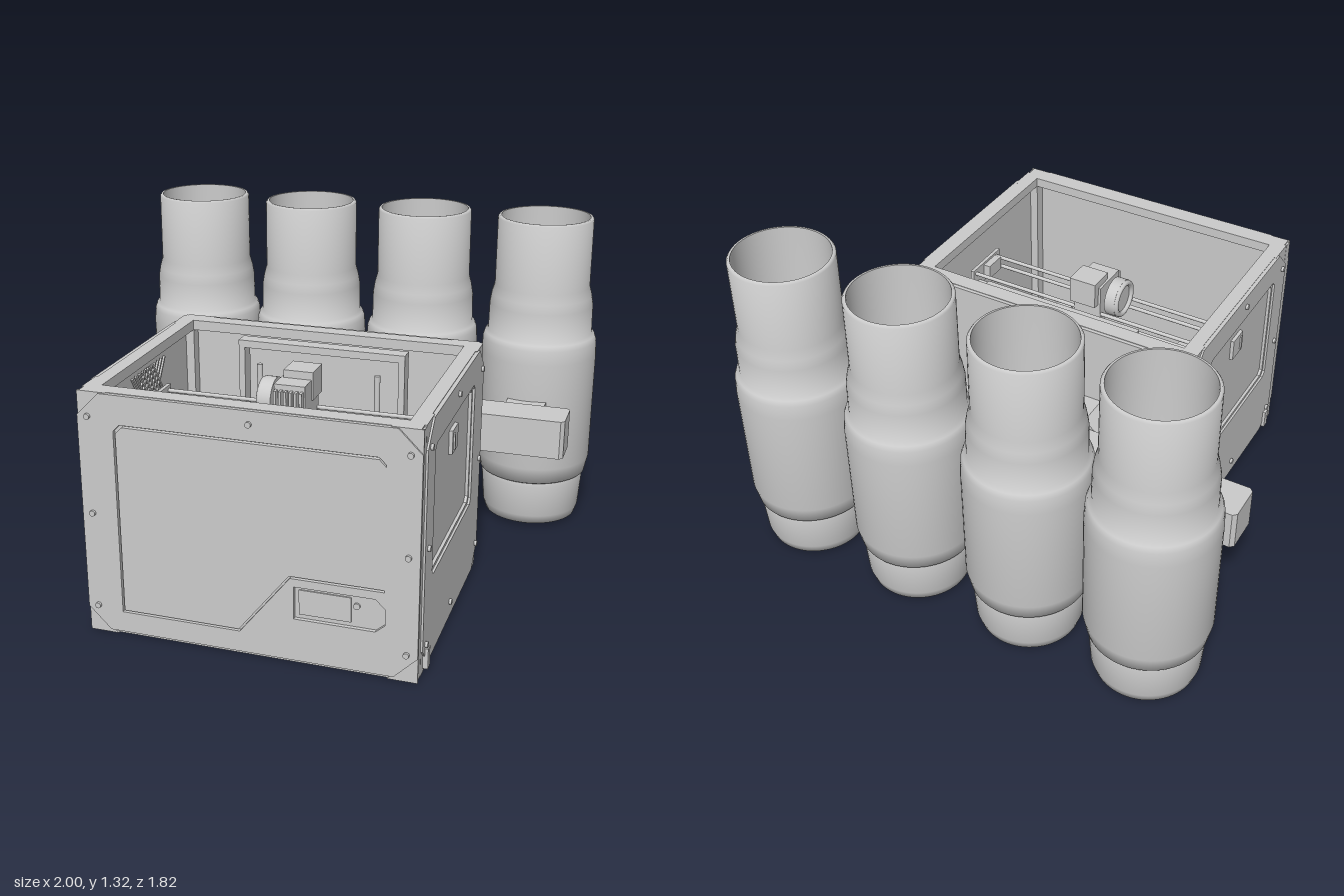
import * as THREE from 'three';
import { toCreasedNormals } from 'three/addons/utils/BufferGeometryUtils.js';

const mat = new THREE.MeshStandardMaterial({ color: 0xcccccc, side: THREE.DoubleSide });

function add(parent, name, geo, x = 0, y = 0, z = 0) {
  const m = new THREE.Mesh(geo, mat);
  m.name = name;
  m.position.set(x, y, z);
  parent.add(m);
  return m;
}
// Box given by its min and max along each axis
function box(parent, name, x0, x1, y0, y1, z0, z1) {
  return add(parent, name, new THREE.BoxGeometry(x1 - x0, y1 - y0, z1 - z0),
    (x0 + x1) / 2, (y0 + y1) / 2, (z0 + z1) / 2);
}
const shapeOf = pts => new THREE.Shape(pts.map(p => new THREE.Vector2(...p)));
const rect = (a, b, yc = 0) => [[-a, yc - b], [a, yc - b], [a, yc + b], [-a, yc + b]];
const chamfered = (x0, x1, y0, y1, c) => [
  [x0 + c, y0], [x1 - c, y0], [x1, y0 + c], [x1, y1 - c],
  [x1 - c, y1], [x0 + c, y1], [x0, y1 - c], [x0, y0 + c]];
// Flat plate in the xy plane, from z0 to z1
function plate(parent, name, pts, z0, z1, holes = []) {
  const s = shapeOf(pts);
  s.holes = holes.map(shapeOf);
  return add(parent, name, new THREE.ExtrudeGeometry(s, { depth: z1 - z0, bevelEnabled: false }), 0, 0, z0);
}
function screw(parent, x, y, z) {
  add(parent, 'screw', new THREE.CylinderGeometry(0.011, 0.011, 0.03, 16), x, y, z).rotation.x = Math.PI / 2;
}

// One upright face of the enclosure: chamfered panel from u0 to u1, corner brackets and screws
function face(parent, name, u0, u1, offset, angle, holes) {
  const g = new THREE.Group();
  g.name = name;
  g.rotation.y = angle;
  parent.add(g);
  plate(g, name + 'Panel', chamfered(u0, u1, 0.015, 0.938, 0.085), offset, offset + 0.015, holes);
  for (const [u, s] of [[u0, -1], [u1, 1]]) {
    for (const y of [0.11, 0.48, 0.85]) screw(g, u - s * 0.04, y, offset + 0.01);
    for (const [yc, sy] of [[0, 1], [0.94, -1]])
      plate(g, 'cornerBracket', [[u, yc], [u, yc + sy * 0.11], [u - s * 0.11, yc]], offset, offset + 0.008);
  }
  screw(g, 0.02, 0.89, offset + 0.01);
  return g;
}

function enclosure() {
  const g = new THREE.Group();
  g.name = 'enclosure';
  g.position.set(0.015, 0, 0.41);
  const W = 0.612, D = 0.475, IW = 0.557, ID = 0.41;
  // Frame rings, posts and floor
  for (const [n, y, h, a, b] of [['topFrame', 0.9, 0.04, IW, ID], ['bottomFrame', 0, 0.07, W - 0.03, D - 0.03]]) {
    const ring = plate(g, n, rect(W, D), 0, h, [rect(a, b)]);
    ring.rotation.x = -Math.PI / 2;
    ring.position.y = y;
  }
  for (const sx of [-1, 1]) for (const sz of [-1, 1])
    add(g, 'cornerPost', new THREE.BoxGeometry(W - IW, 0.85, D - ID), sx * (W + IW) / 2, 0.48, sz * (D + ID) / 2);
  box(g, 'floorPlate', -W + 0.02, W - 0.02, 0.03, 0.05, -D + 0.02, D - 0.02);
  box(g, 'baseCover', -0.1, 0.54, 0.02, 0.03, -0.4, 0.4);

  // Front face with a stepped door and a control screen
  const door = d => [[-0.48 - d, 0.1 - d], [-0.03 + d * 0.4, 0.1 - d], [0.16 + d * 0.4, 0.34 - d],
    [0.5, 0.34 - d], [0.5, 0.8 + d], [0.475, 0.825 + d], [-0.455 - d, 0.825 + d], [-0.48 - d, 0.8 + d]];
  const screen = [[0.175, 0.18], [0.47, 0.18], [0.505, 0.21], [0.505, 0.27], [0.47, 0.305], [0.175, 0.305]];
  const front = face(g, 'front', -0.62, 0.622, D, 0, [door(0.004), screen]);
  plate(front, 'door', door(-0.004), D - 0.01, D + 0.015);
  plate(front, 'doorBacking', rect(0.58, 0.44, 0.47), D - 0.02, D - 0.002);
  box(front, 'screen', 0.19, 0.38, 0.195, 0.29, D - 0.004, D + 0.003);
  add(front, 'knob', new THREE.CylinderGeometry(0.012, 0.012, 0.01, 24), 0.4, 0.26, D).rotation.x = Math.PI / 2;

  // Side faces with recessed windows, latches and foot brackets
  for (const s of [1, -1]) {
    const win = d => chamfered(-0.33 + d, 0.31 - d, 0.34 + d, 0.83 - d, 0.02).map(([u, y]) => [u * s, y]);
    const ends = [-0.44 * s, 0.47 * s].sort((a, b) => a - b);
    const side = face(g, s > 0 ? 'leftSide' : 'rightSide', ...ends, W, s * Math.PI / 2, [win(0)]);
    plate(side, 'windowFrame', win(-0.002), W - 0.01, W + 0.006, [win(0.012)]);
    plate(side, 'sideWindow', rect(0.44, 0.44, 0.47), W - 0.02, W - 0.006);
    add(side, 'latch', new THREE.BoxGeometry(0.09, 0.09, 0.016), s * 0.015, 0.72, W);
    add(side, 'latchGrip', new THREE.BoxGeometry(0.012, 0.06, 0.012), -s * 0.01, 0.72, W + 0.008);
    screw(side, s * -0.02, 0.08, W + 0.01);
    // Front frame strip beside the panel and its foot bracket
    const strip = new THREE.BoxGeometry(0.035, 0.93, 0.012);
    add(side, 'frameStrip', strip, -s * 0.46, 0.47, W + 0.002);
    add(side, 'footBracket', new THREE.BoxGeometry(0.03, 0.08, 0.03), -s * 0.39, 0.055, W + 0.012);
  }

  // Back face, power inlet and cable tab
  const back = face(g, 'back', -0.605, 0.605, D, Math.PI, []);
  plate(back, 'backWall', rect(0.58, 0.44, 0.47), D - 0.02, D);
  plate(back, 'powerInlet', chamfered(-0.44, -0.3, 0.07, 0.13, 0.015), D + 0.01, D + 0.024);
  box(back, 'powerSwitch', -0.4, -0.34, 0.085, 0.115, D + 0.02, D + 0.03);
  box(back, 'cableTab', 0.02, 0.07, 0, 0.07, D + 0.01, D + 0.03);
  return g;
}

function printer() {
  const g = new THREE.Group();
  g.name = 'printerMechanism';
  // Heated bed on its carriage
  box(g, 'bed', -0.37, 0.4, 0.42, 0.44, 0.14, 0.6);
  box(g, 'bedCarriage', -0.24, 0.28, 0.38, 0.42, 0.1, 0.65);
  for (const x of [-0.32, 0.29]) for (const z of [0.1, 0.6])
    box(g, 'bedClamp', x, x + 0.075, 0.4, 0.45, z, z + 0.05);
  // Rear lift frame
  box(g, 'liftTopBar', -0.32, 0.36, 0.87, 0.9, 0.01, 0.07);
  for (const x of [-0.32, 0.335]) box(g, 'liftPost', x, x + 0.025, 0.05, 0.87, 0.01, 0.07);
  for (const x of [-0.22, 0.26]) add(g, 'liftRod', new THREE.CylinderGeometry(0.012, 0.012, 0.77, 12), x, 0.435, 0.1);
  // Gantry rods and end blocks
  for (const [z, y] of [[0.29, 0.74], [0.31, 0.69], [0.45, 0.74], [0.46, 0.69]])
    add(g, 'gantryRod', new THREE.CylinderGeometry(0.008, 0.008, 1.11, 12), 0.017, y, z).rotation.z = Math.PI / 2;
  for (const x of [-0.545, 0.565]) box(g, 'gantryEnd', x, x + 0.015, 0.67, 0.76, 0.27, 0.48);
  box(g, 'beltPulley', 0.535, 0.57, 0.69, 0.75, 0.35, 0.44);
  // Print head with cooling fan and ribs
  box(g, 'headBody', -0.04, 0.08, 0.7, 0.87, 0.28, 0.44);
  box(g, 'headMotor', -0.03, 0.085, 0.79, 0.9, 0.25, 0.36);
  for (let i = 0; i < 6; i++) box(g, 'coolingFin', -0.035 + i * 0.02, -0.025 + i * 0.02, 0.73, 0.85, 0.43, 0.465);
  add(g, 'nozzle', new THREE.CylinderGeometry(0.025, 0.008, 0.06, 16), 0.02, 0.67, 0.37);
  add(g, 'fanHousing', new THREE.CylinderGeometry(0.08, 0.08, 0.045, 32), -0.075, 0.79, 0.37).rotation.z = Math.PI / 2;
  add(g, 'fanRim', new THREE.TorusGeometry(0.068, 0.012, 8, 32), -0.1, 0.79, 0.37).rotation.y = Math.PI / 2;
  // Vent grille on the inner side wall
  for (let i = 0; i < 7; i++) for (const s of [-1, 1])
    add(g, 'ventBar', new THREE.BoxGeometry(0.008, 0.2, 0.008), -0.565, 0.78, 0.3 + i * 0.03).rotation.x = s * 0.6;
  return g;
}

function canisters() {
  const g = new THREE.Group();
  g.name = 'filterAssembly';
  // Duct from the enclosure to the manifold
  plate(g, 'ductBlock', chamfered(-0.3, 0.29, 0.4, 0.62, 0.06), -0.21, -0.07);
  box(g, 'ductNeck', -0.23, 0.22, 0.44, 0.58, -0.24, -0.2);
  const manifold = plate(g, 'manifold', chamfered(-0.95, 0.945, 0.22, 0.385, 0.015), 0, 0.16);
  manifold.rotation.x = -Math.PI / 2;
  manifold.position.y = 0.43;
  // Hollow stepped canisters
  const profile = [[0, 0], [0.17, 0], [0.195, 0.012], [0.207, 0.05], [0.217, 0.19], [0.214, 0.205], [0.226, 0.212],
    [0.24, 0.28], [0.241, 0.74], [0.237, 0.8], [0.229, 0.822], [0.217, 0.832], [0.215, 0.95], [0.208, 0.99],
    [0.197, 1.03], [0.196, 1.31], [0.19, 1.318], [0.182, 1.318], [0.182, 0.2], [0.17, 0.12], [0.13, 0.06], [0, 0.03]];
  const geo = toCreasedNormals(new THREE.LatheGeometry(profile.map(p => new THREE.Vector2(...p)), 64), 1.2);
  for (const x of [-0.759, -0.26, 0.247, 0.759]) {
    add(g, 'canister', geo, x, 0, -0.672);
    box(g, 'inletPipe', x - 0.083, x + 0.077, 0.435, 0.585, -0.46, -0.38);
  }
  return g;
}

export function createModel() {
  const model = new THREE.Group();
  model.name = 'enclosedPrinter';
  model.add(enclosure(), printer(), canisters());
  return model;
}
